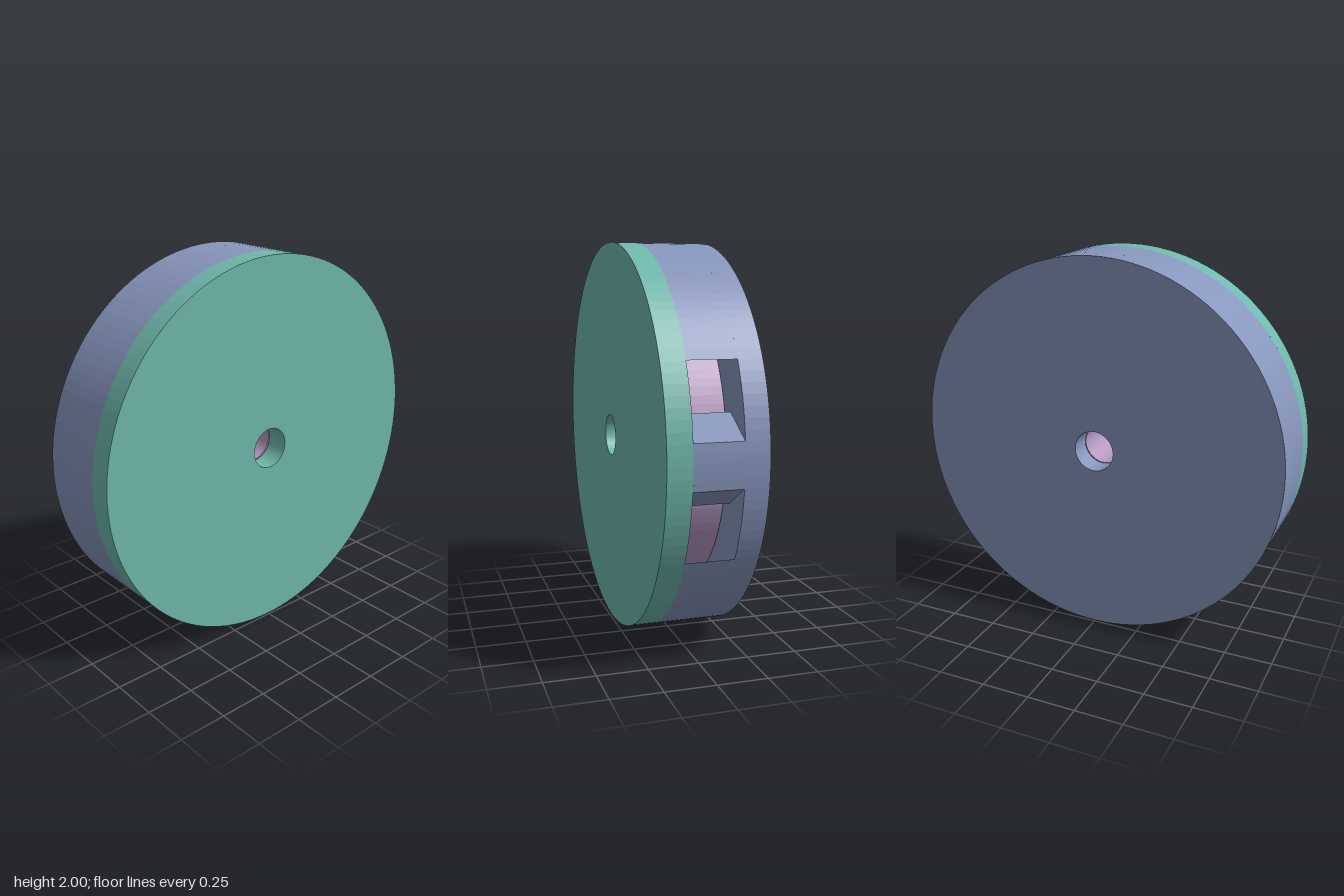
import * as THREE from 'three';

const OUTER = 1, CAVITY = 0.84, ROTOR = 0.79, BORE = 0.107;
const HALF = 0.24, INNER = 0.12, TILT = Math.PI / 3;
const SLOT_NEAR = 0.59, SLOT_FAR = 0.84; // slot walls, distances from the axis

// Points along an arc, about 3 degrees apart
function arc(radius, from, to) {
  const n = Math.max(2, Math.ceil(Math.abs(to - from) / (Math.PI / 60)));
  return Array.from({ length: n + 1 }, (_, i) => {
    const a = from + ((to - from) * i) / n;
    return new THREE.Vector2(radius * Math.cos(a), radius * Math.sin(a));
  });
}

function extrude(shape, z0, z1) {
  const geo = new THREE.ExtrudeGeometry(shape, { depth: z1 - z0, bevelEnabled: false });
  return geo.translate(0, 1, z0);
}

// Disc with the shaft bore through it
function disc(radius, z0, z1) {
  const shape = new THREE.Shape(arc(radius, 0, Math.PI * 2).slice(0, -1));
  shape.holes.push(new THREE.Path(arc(BORE, 0, Math.PI * 2).slice(0, -1)));
  return extrude(shape, z0, z1);
}

// Angle at which a slot wall crosses a circle
const crossing = (distance, radius) => TILT - Math.acos(Math.min(1, distance / radius));

export function createModel() {
  const model = new THREE.Group();
  const housing = new THREE.Group();
  housing.name = 'housing';
  model.add(housing);

  const blue = new THREE.MeshStandardMaterial({ color: 0x8796bd });
  const green = new THREE.MeshStandardMaterial({ color: 0x6fb8ad });
  const pink = new THREE.MeshStandardMaterial({ color: 0xb799c2 });

  function add(parent, name, geometry, material) {
    const mesh = new THREE.Mesh(geometry, material);
    mesh.name = name;
    parent.add(mesh);
  }

  // Back plate
  add(housing, 'backPlate', disc(OUTER, -HALF, -INNER), blue);

  // Main rim, open at the two tangential slots on the +x side
  const farOut = crossing(SLOT_FAR, OUTER), farIn = crossing(SLOT_FAR, CAVITY);
  const rim = new THREE.Shape([
    ...arc(OUTER, farOut, Math.PI * 2 - farOut),
    ...arc(CAVITY, Math.PI * 2 - farIn, farIn),
  ]);
  add(housing, 'rim', extrude(rim, -INNER, INNER), blue);

  // Wedge of rim between the slots
  const nearOut = crossing(SLOT_NEAR, OUTER), nearIn = crossing(SLOT_NEAR, CAVITY);
  const wedge = new THREE.Shape([
    ...arc(OUTER, -nearOut, nearOut),
    ...arc(CAVITY, nearIn, -nearIn),
  ]);
  add(housing, 'slotDivider', extrude(wedge, -INNER, INNER), blue);

  // Front cover and the rotor inside
  add(model, 'frontCover', disc(OUTER, INNER, HALF), green);
  add(model, 'rotor', disc(ROTOR, -0.112, 0.112), pink);

  return model;
}
